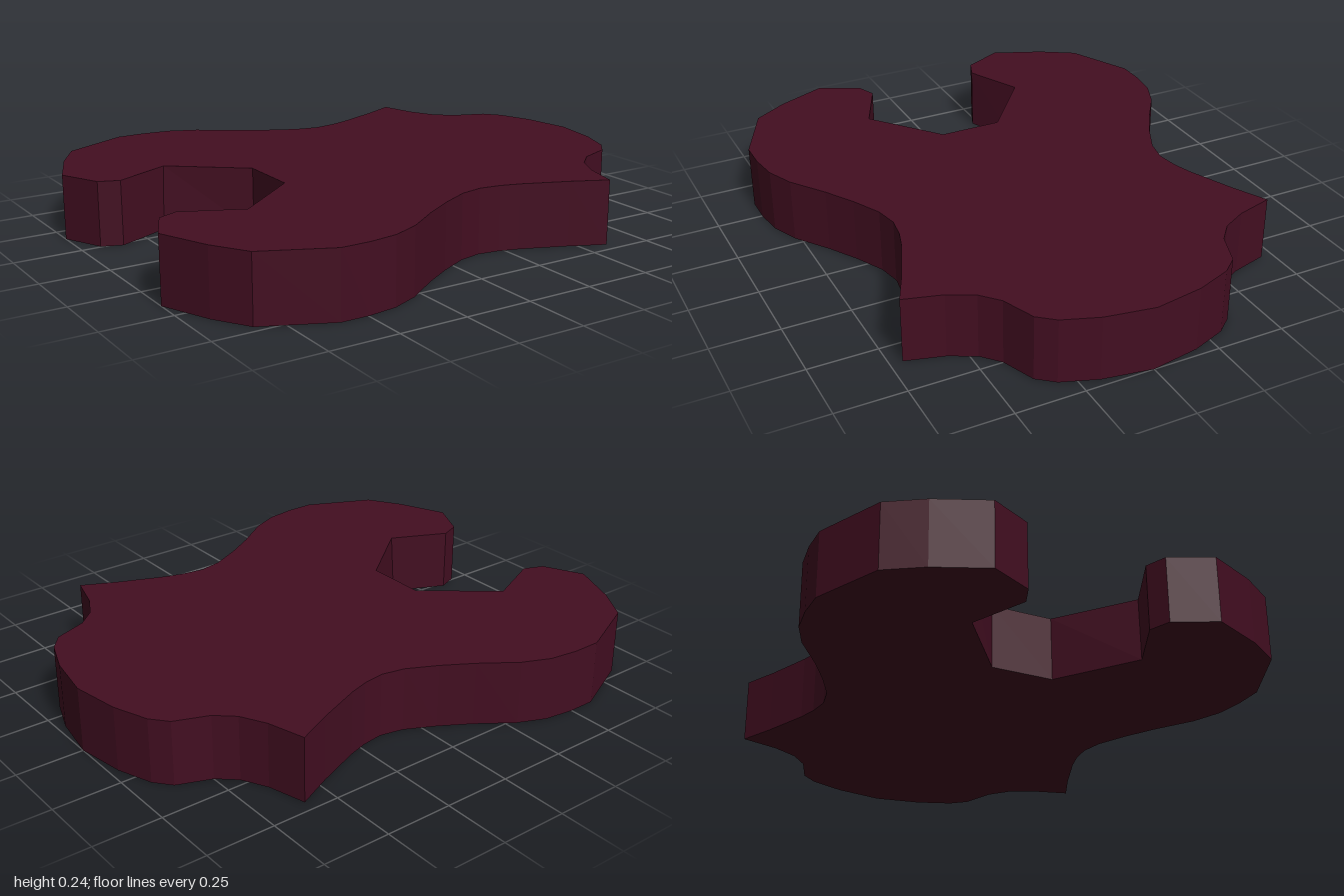
import * as THREE from 'three';

const HEIGHT = 0.24;

// Half outline (x, z) from the rounded nose to the inner end of the slot.
const HALF = [
  [1, 0], [0.97, 0.18], [0.922, 0.31], [0.872, 0.37], [0.75, 0.417], [0.685, 0.475],
  [0.637, 0.567], [0.598, 0.706], [0.468, 0.644], [0.3, 0.575], [0.227, 0.553],
  [0.147, 0.542], [0.06, 0.56], [-0.05, 0.615], [-0.158, 0.68], [-0.286, 0.77],
  [-0.388, 0.814], [-0.495, 0.829], [-0.6, 0.829], [-0.842, 0.716], [-0.922, 0.588],
  [-1, 0.404], [-0.928, 0.255], [-0.853, 0.225], [-0.653, 0.318], [-0.384, 0.117],
];

export function createModel() {
  const group = new THREE.Group();
  group.name = 'body';

  // Mirror the half outline across the centre line
  const mirrored = HALF.slice(1).reverse().map(([x, z]) => [x, -z]);
  const outline = [...HALF, ...mirrored].map(([x, z]) => new THREE.Vector2(x, z));

  const geometry = new THREE.ExtrudeGeometry(new THREE.Shape(outline), {
    depth: HEIGHT, bevelEnabled: false,
  });
  geometry.rotateX(-Math.PI / 2);

  // Slot corners lean slightly outward towards the top
  const pos = geometry.attributes.position;
  for (let i = 0; i < pos.count; i++) {
    const z = pos.getZ(i);
    const atCorner = Math.abs(pos.getX(i) + 0.653) < 0.001 && Math.abs(z) < 0.4;
    if (atCorner && pos.getY(i) > HEIGHT / 2) {
      pos.setX(i, pos.getX(i) + 0.012);
      pos.setZ(i, z + Math.sign(z) * 0.006);
    }
  }
  geometry.computeVertexNormals();

  const plate = new THREE.Mesh(
    geometry,
    new THREE.MeshStandardMaterial({ color: 0x430e21, flatShading: true }),
  );
  plate.name = 'slottedPlate';
  group.add(plate);
  return group;
}
